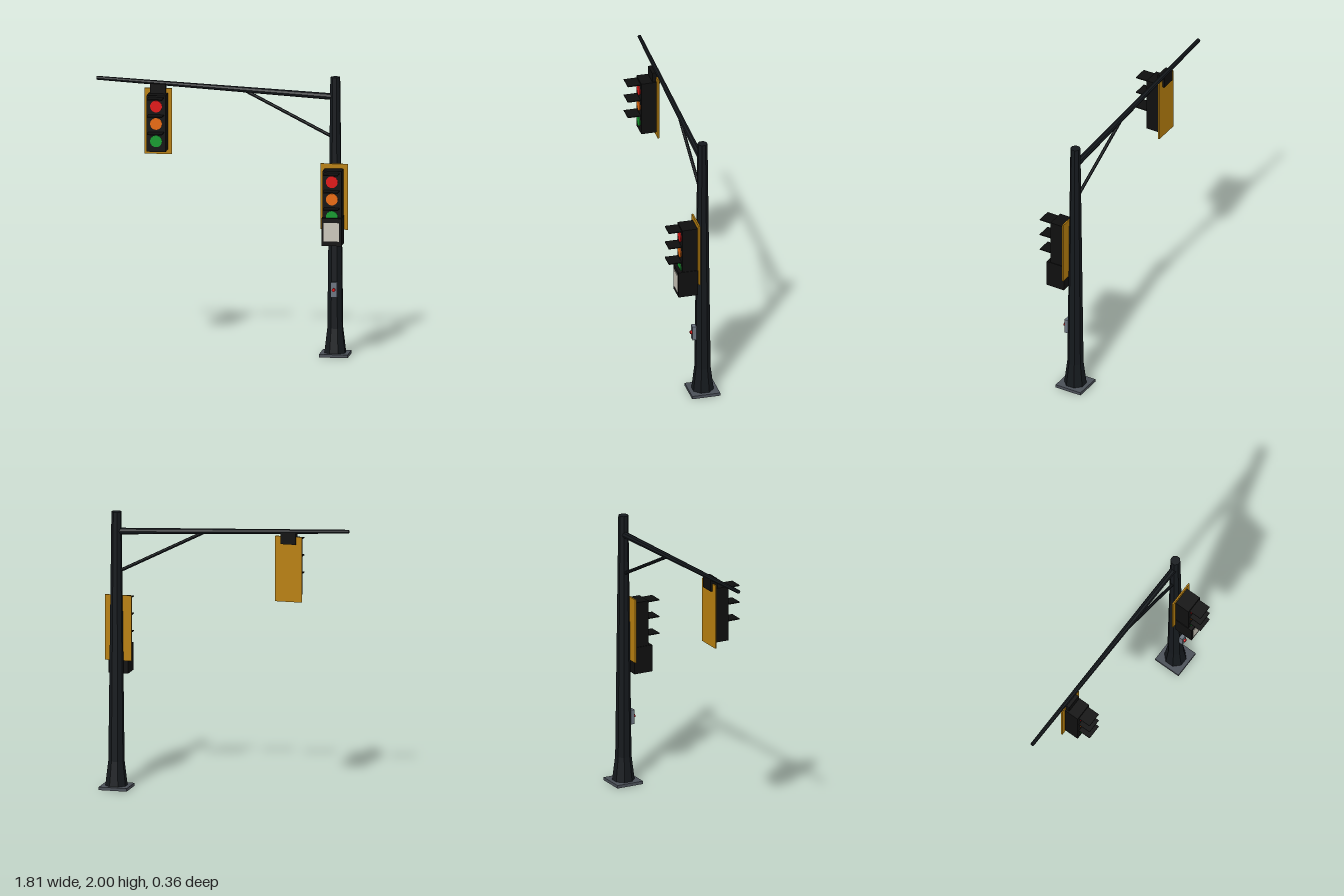
import * as THREE from 'three';

const mat = (color) => new THREE.MeshStandardMaterial({ color, flatShading: true });
const POLE = mat(0x15191d), BLACK = mat(0x0f0f0f), YELLOW = mat(0xb8800f);
const BASE = mat(0x4a4f57), STEEL = mat(0x6c7580), PANEL = mat(0xcac6ba);
const RED = mat(0xe01414), AMBER = mat(0xe86a0c), GREEN = mat(0x129a2e);
const PX = 0.8, PZ = -0.08; // pole axis

function add(parent, name, geometry, material, x = 0, y = 0, z = 0) {
  const mesh = new THREE.Mesh(geometry, material);
  mesh.name = name;
  mesh.position.set(x, y, z);
  parent.add(mesh);
  return mesh;
}

const box = (w, h, d) => new THREE.BoxGeometry(w, h, d);

// Tapered round bar between two points
function bar(parent, name, a, b, ra, rb) {
  const dir = b.clone().sub(a);
  const mesh = add(parent, name, new THREE.CylinderGeometry(rb, ra, dir.length(), 8), POLE);
  mesh.position.copy(a).addScaledVector(dir, 0.5);
  mesh.quaternion.setFromUnitVectors(new THREE.Vector3(0, 1, 0), dir.normalize());
}

// Disc facing +z
function disc(parent, name, r, depth, material, x, y, z) {
  add(parent, name, new THREE.CylinderGeometry(r, r, depth, 32), material, x, y, z).rotation.x = Math.PI / 2;
}

// Three-lamp head, origin at the middle of the housing front
function signalHead(name) {
  const head = new THREE.Group();
  head.name = name;
  add(head, 'backplate', box(0.195, 0.472, 0.011), YELLOW, 0, 0, -0.1175);
  add(head, 'housing', box(0.135, 0.404, 0.112), BLACK, 0, 0, -0.056);
  [['red', RED], ['amber', AMBER], ['green', GREEN]].forEach(([label, material], i) => {
    const y = 0.125 * (1 - i);
    disc(head, label + 'Lens', 0.042, 0.012, material, 0, y, 0);
    add(head, label + 'Visor', box(0.11, 0.007, 0.094), BLACK, 0, y + 0.063, 0.049);
  });
  return head;
}

export function createModel() {
  const model = new THREE.Group();
  model.name = 'trafficSignal';

  // Base plate and octagonal pole with flared foot
  add(model, 'basePlate', box(0.205, 0.022, 0.205), BASE, PX, 0.011, PZ);
  const profile = [[0, 0.02], [0.08, 0.02], [0.058, 0.2], [0.036, 2], [0, 2]]
    .map(([r, y]) => new THREE.Vector2(r, y));
  add(model, 'pole', new THREE.LatheGeometry(profile, 8, Math.PI / 8), POLE, PX, 0, PZ);

  // Mast arm and diagonal brace
  const v = (x, y) => new THREE.Vector3(x, y, PZ);
  bar(model, 'mastArm', v(PX, 1.858), v(-0.905, 1.95), 0.024, 0.014);
  bar(model, 'brace', v(PX, 1.56), v(0.165, 1.882), 0.012, 0.012);

  // Hanging signal and its bracket
  const armSignal = signalHead('armSignal');
  armSignal.position.set(-0.462, 1.653, 0.044);
  model.add(armSignal);
  add(model, 'armBracket', box(0.112, 0.09, 0.055), BLACK, -0.462, 1.88, -0.067);

  // Signal on the pole
  const poleSignal = signalHead('poleSignal');
  poleSignal.position.set(PX, 1.15, 0.085);
  model.add(poleSignal);

  // Pedestrian signal
  add(model, 'pedestrianHousing', box(0.143, 0.198, 0.141), BLACK, PX, 0.919, 0.0435);
  add(model, 'pedestrianPanel', box(0.108, 0.133, 0.01), PANEL, PX, 0.92, 0.114);

  // Push button
  add(model, 'buttonBox', box(0.045, 0.106, 0.034), STEEL, PX, 0.483, -0.019);
  disc(model, 'pushButton', 0.012, 0.014, RED, PX, 0.484, 0.004);

  return model;
}
